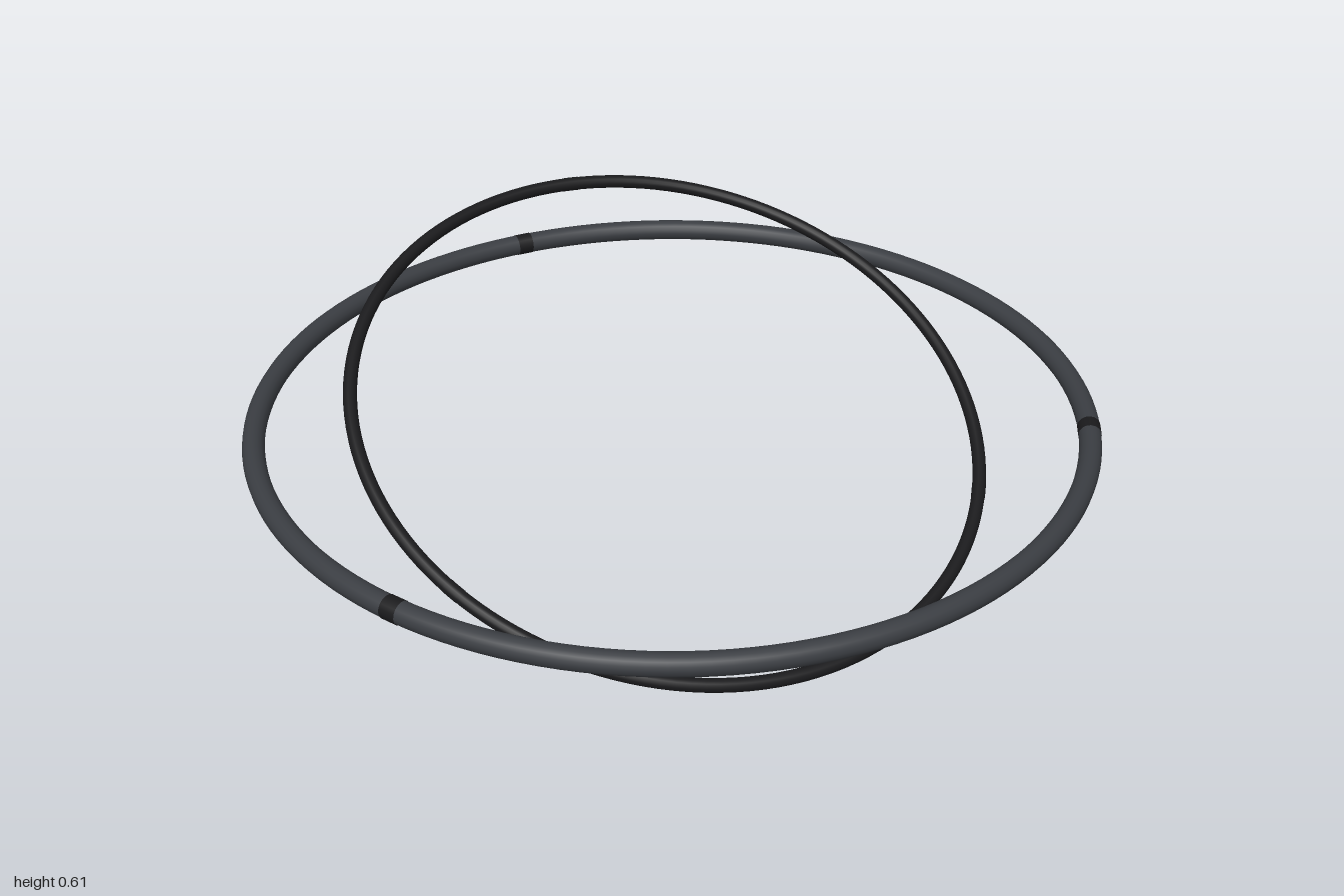
import * as THREE from 'three';

// A hoop lying in the xz plane, made of three equal arcs with a thin collar over each joint.
function makeHoop(name, radius, tube, firstJoint, material, collarMaterial) {
  const hoop = new THREE.Group();
  hoop.name = name;
  const third = (Math.PI * 2) / 3;
  const collarAngle = 0.04 / radius;
  const arcGeometry = new THREE.TorusGeometry(radius, tube, 16, 48, third).rotateX(Math.PI / 2);
  const collarGeometry = new THREE.TorusGeometry(radius, tube * 1.04, 16, 2, collarAngle)
    .rotateZ(-collarAngle / 2)
    .rotateX(Math.PI / 2);
  for (let i = 0; i < 3; i++) {
    const arc = new THREE.Mesh(arcGeometry, material);
    arc.name = name + 'Arc';
    const collar = new THREE.Mesh(collarGeometry, collarMaterial);
    collar.name = name + 'Joint';
    arc.rotation.y = collar.rotation.y = -(firstJoint + i * third);
    hoop.add(arc, collar);
  }
  return hoop;
}

export function createModel() {
  const model = new THREE.Group();
  model.name = 'tiltedRings';
  const grey = new THREE.MeshStandardMaterial({ color: 0x3a3d42, side: THREE.DoubleSide });
  const black = new THREE.MeshStandardMaterial({ color: 0x1a1a1c, side: THREE.DoubleSide });
  const height = 0.31;

  // Level outer ring
  const outer = makeHoop('outerRing', 0.974, 0.026, 0, grey, black);
  outer.position.y = height;

  // Thinner inner ring, low towards the front left
  const normal = new THREE.Vector3(0.229, 0.922, 0.31).normalize();
  const tilt = new THREE.Quaternion().setFromUnitVectors(new THREE.Vector3(0, 1, 0), normal);
  const joint = new THREE.Vector3(-0.32, 0.287, -0.62).applyQuaternion(tilt.clone().invert());
  const inner = makeHoop('innerRing', 0.754, 0.016, Math.atan2(joint.z, joint.x), black, black);
  inner.quaternion.copy(tilt);
  inner.position.y = height;

  model.add(outer, inner);
  return model;
}
